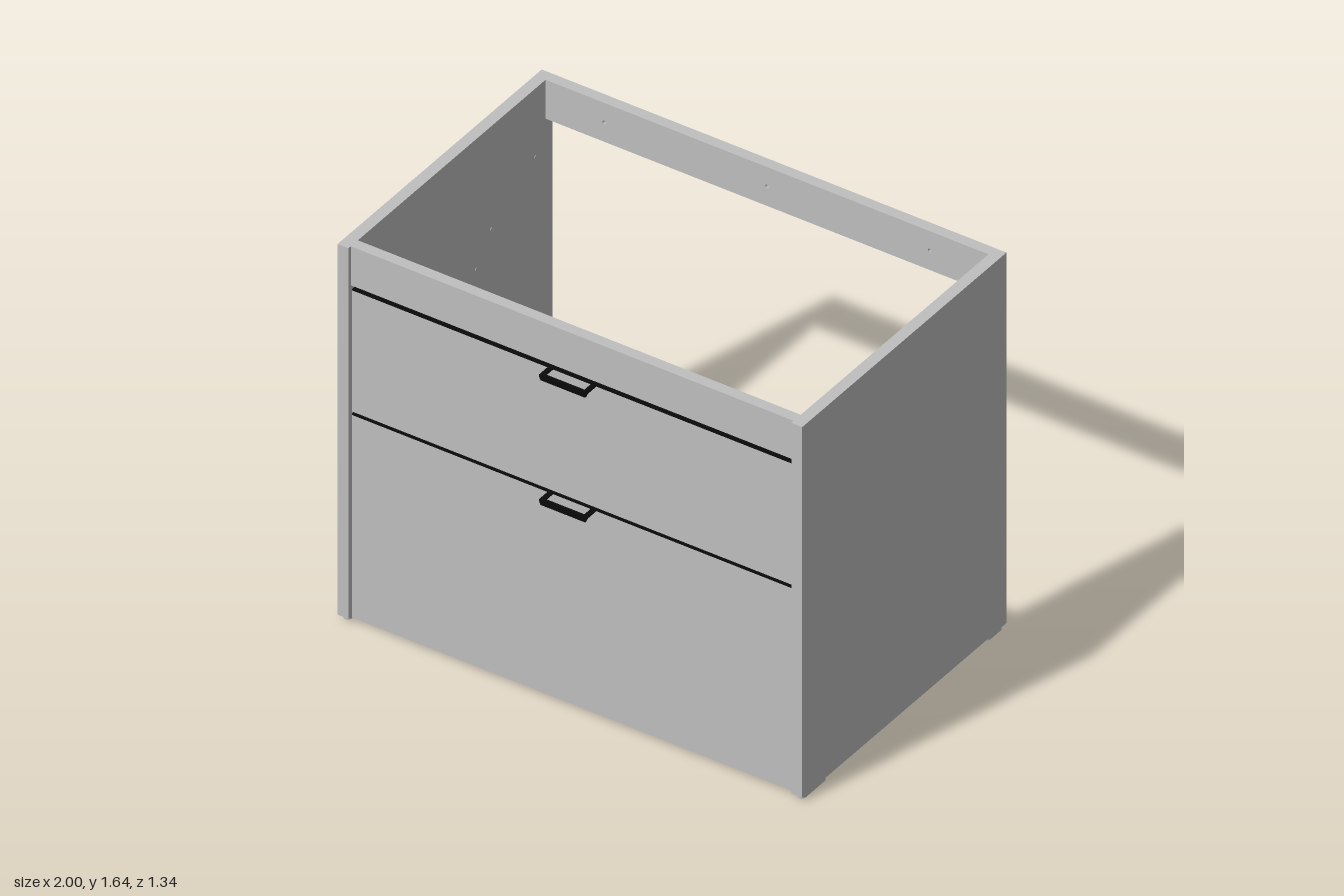
import * as THREE from 'three';

const panelMat = new THREE.MeshStandardMaterial({ color: 0xbfbfbf });
panelMat.name = 'panelGrey';
const blackMat = new THREE.MeshStandardMaterial({ color: 0x0a0a0a });
blackMat.name = 'handleBlack';

const INNER = 0.953; // inner face of the side panels

function add(parent, name, geo, mat) {
  const mesh = new THREE.Mesh(geo, mat);
  mesh.name = name;
  parent.add(mesh);
  return mesh;
}

// Box given by its limits on each axis
function box(parent, name, [x0, x1], [y0, y1], [z0, z1], mat = panelMat) {
  const geo = new THREE.BoxGeometry(x1 - x0, y1 - y0, z1 - z0);
  geo.translate((x0 + x1) / 2, (y0 + y1) / 2, (z0 + z1) / 2);
  return add(parent, name, geo, mat);
}

// Cross rail with three screw holes
function drilledRail(parent, name, [y0, y1], [z0, z1]) {
  const shape = new THREE.Shape([
    new THREE.Vector2(-INNER, y0), new THREE.Vector2(INNER, y0),
    new THREE.Vector2(INNER, y1), new THREE.Vector2(-INNER, y1),
  ]);
  for (const x of [-0.7, 0, 0.7]) {
    shape.holes.push(new THREE.Path().absarc(x, (y0 + y1) / 2, 0.008, 0, Math.PI * 2, true));
  }
  const geo = new THREE.ExtrudeGeometry(shape, { depth: z1 - z0, bevelEnabled: false, curveSegments: 6 });
  geo.translate(0, 0, z0);
  return add(parent, name, geo, panelMat);
}

// Rounded foot lying along z
function foot(parent, x, z0, z1) {
  const r = 0.016;
  const shape = new THREE.Shape();
  shape.absarc(0, z1 - r, r, 0, Math.PI, false);
  shape.absarc(0, z0 + r, r, Math.PI, Math.PI * 2, false);
  const geo = new THREE.ExtrudeGeometry(shape, { depth: 0.02, bevelEnabled: false, curveSegments: 8 });
  geo.rotateX(Math.PI / 2);
  geo.translate(x, 0.02, 0);
  add(parent, 'foot', geo, panelMat);
}

// Drawer front with its black edge profile, pull handle and rear ridge
function drawer(name, y0, y1, ridgeY) {
  const g = new THREE.Group();
  g.name = name;
  const w = 0.948;
  box(g, 'drawerFront', [-w, w], [y0, y1 - 0.005], [0.565, 0.61]);
  box(g, 'edgeProfileTop', [-w, w], [y1 - 0.005, y1], [0.558, 0.61], blackMat);
  box(g, 'edgeProfileBack', [-w, w], [y1 - 0.055, y1 - 0.005], [0.558, 0.565], blackMat);
  box(g, 'rearRidge', [-0.93, 0.93], [ridgeY - 0.022, ridgeY + 0.022], [0.55, 0.565]);
  // Open pull: two arms, a front bar and a lip
  for (const s of [-1, 1]) {
    const x = s * 0.093;
    box(g, 'handleArm', [x - 0.01, x + 0.01], [y1 - 0.006, y1], [0.61, 0.66], blackMat);
  }
  box(g, 'handleBar', [-0.103, 0.103], [y1 - 0.006, y1], [0.655, 0.67], blackMat);
  const lip = new THREE.Shape([
    new THREE.Vector2(-0.103, y1 - 0.006), new THREE.Vector2(-0.096, y1 - 0.022),
    new THREE.Vector2(0.096, y1 - 0.022), new THREE.Vector2(0.103, y1 - 0.006),
  ]);
  const geo = new THREE.ExtrudeGeometry(lip, { depth: 0.008, bevelEnabled: false });
  geo.translate(0, 0, 0.662);
  add(g, 'handleLip', geo, blackMat);
  return g;
}

export function createModel() {
  const model = new THREE.Group();
  model.name = 'drawerCabinet';

  // Sides, feet and fitting points on the inner faces, as [z, y]
  const fittings = [
    [-0.56, 1.34], [-0.28, 1.19], [-0.185, 1.07], [0.44, 1.2],
    [-0.27, 0.335], [0.08, 0.17], [-0.185, 0.165], [0.44, 0.265],
  ];
  for (const s of [-1, 1]) {
    const side = new THREE.Group();
    side.name = s > 0 ? 'leftSide' : 'rightSide';
    const xs = [s * INNER, s].sort((a, b) => a - b);
    box(side, 'sidePanel', xs, [0.02, 1.64], [-0.67, 0.625]);
    foot(side, s * 0.977, 0.455, 0.61);
    foot(side, s * 0.977, -0.66, -0.56);
    for (const [z, y] of fittings) {
      const dot = add(side, 'fittingPoint', new THREE.CylinderGeometry(0.007, 0.007, 0.004, 10), panelMat);
      dot.rotation.z = Math.PI / 2;
      dot.position.set(s * INNER, y, z);
    }
    model.add(side);
  }

  // Floor and cross rails
  box(model, 'floor', [-INNER, INNER], [0.02, 0.065], [-0.475, 0.558]);
  drilledRail(model, 'lowerBackRail', [0.02, 0.2], [-0.52, -0.475]);
  drilledRail(model, 'upperBackRail', [1.47, 1.64], [-0.67, -0.625]);
  box(model, 'topFrontRail', [-INNER, INNER], [1.47, 1.64], [0.565, 0.61]);
  box(model, 'middleRail', [-INNER, INNER], [0.78, 0.95], [0.507, 0.548]);

  // Drawers
  model.add(drawer('upperDrawer', 0.92, 1.455, 1.05));
  model.add(drawer('lowerDrawer', 0.02, 0.91, 0.155));
  return model;
}
